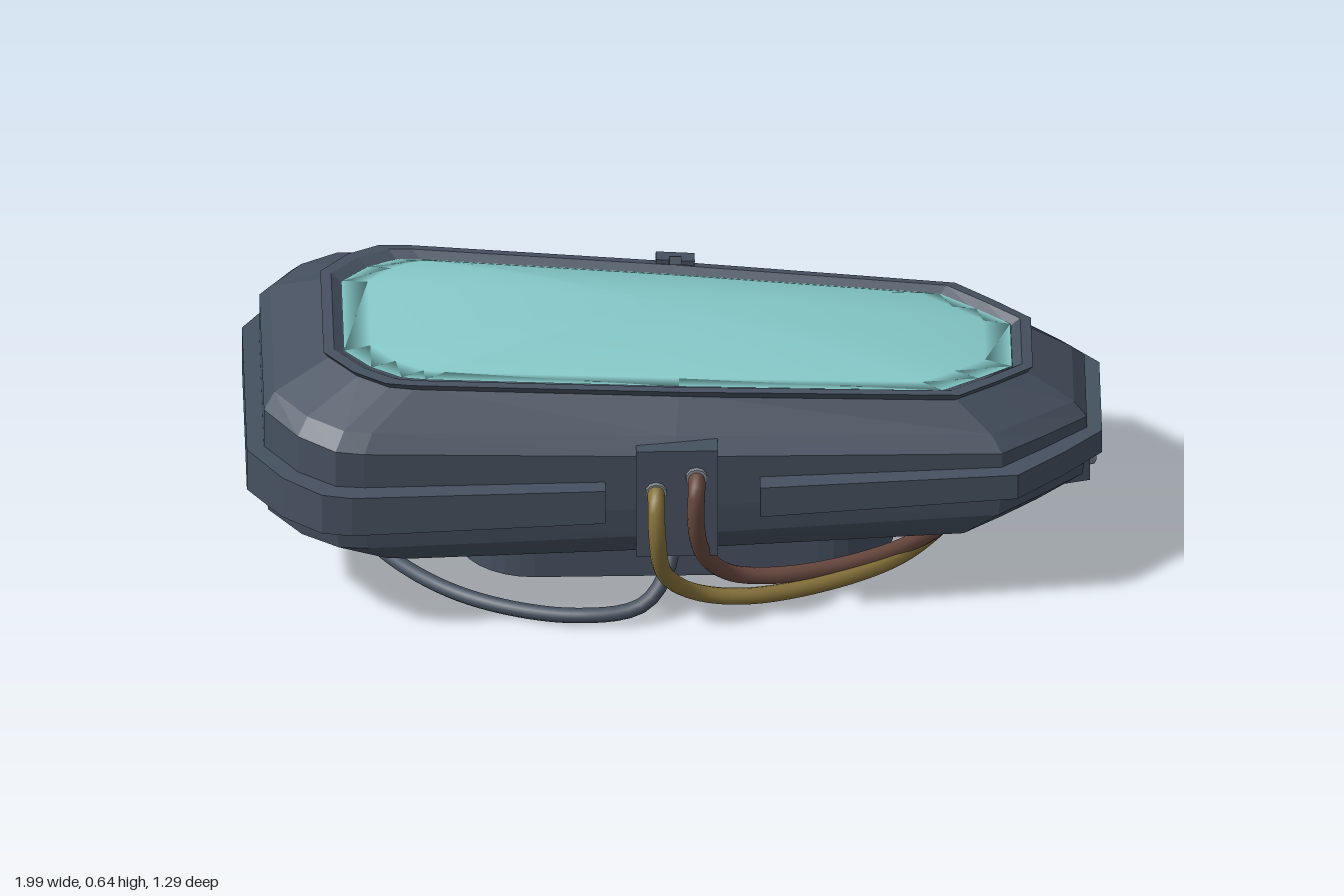
import * as THREE from 'three';

const flat = (name, color) => new THREE.MeshStandardMaterial({ name, color });
const V = (x, y, z) => new THREE.Vector3(x, y, z);
const CZ = 0.175; // the pod's own centre line in z

// Skin a list of equal rings with flat facets, facing outwards.
function loft(rings, { caps = true, smooth = false } = {}) {
  const n = rings[0].length, pts = rings.flat(), tris = [];
  for (let r = 0; r < rings.length - 1; r++)
    for (let i = 0; i < n; i++) {
      const a = r * n + i, b = r * n + (i + 1) % n;
      tris.push([a, b, b + n], [a, b + n, a + n]);
    }
  if (caps) [0, rings.length - 1].forEach((r, end) => {
    const c = rings[r].reduce((s, p) => s.add(p), V(0, 0, 0)).divideScalar(n);
    const k = pts.push(c) - 1;
    for (let i = 0; i < n; i++) {
      const a = r * n + i, b = r * n + (i + 1) % n;
      tris.push(end ? [a, b, k] : [b, a, k]);
    }
  });
  let volume = 0;
  for (const [a, b, c] of tris) volume += pts[a].dot(V(0, 0, 0).crossVectors(pts[b], pts[c]));
  if (volume < 0) tris.forEach(t => t.reverse());
  let g = new THREE.BufferGeometry().setFromPoints(pts);
  g.setIndex(tris.flat());
  if (!smooth) g = g.toNonIndexed();
  g.computeVertexNormals();
  return g;
}

// Half plan of the pod: position along the length, share of the half width.
const PLAN = [[-1, 0.56], [-0.92, 0.82], [-0.83, 0.975], [-0.76, 1], [0, 1.03],
  [0.79, 1], [0.9, 0.73], [1, 0.45]];

// Tapered ring from x0 to x1 with half widths hL and hR; y is taken at x = 0.
function ring(x0, x1, hL, hR, y, slope = 0) {
  const half = PLAN.map(([u, v]) => {
    const x = x0 + (x1 - x0) * (u + 1) / 2;
    const t = (u + 0.76) / 1.55;
    return [x, v * (hL + (hR - hL) * t)];
  });
  return [
    ...half.map(([x, h]) => V(x, y + slope * x, CZ - h)),
    ...half.reverse().map(([x, h]) => V(x, y + slope * x, CZ + h)),
  ];
}

export function createModel() {
  const hull = flat('hull slate', 0x465160);
  const glass = flat('teal glass', 0x86caca);
  const yellow = flat('ochre cable', 0x85713a);
  const brown = flat('brown cable', 0x69493f);
  const metal = flat('light metal', 0x858c96);
  hull.flatShading = true;
  const hose = flat('slate hose', 0x465160);

  const model = new THREE.Group();
  const add = (name, geo, mat, parent = model) => {
    const m = new THREE.Mesh(geo, mat);
    m.name = name;
    parent.add(m);
    return m;
  };
  const box = (name, w, h, d, x, y, z) => {
    const m = add(name, new THREE.BoxGeometry(w, h, d), hull);
    m.position.set(x, y, z);
    return m;
  };

  // Hull
  const S = -0.066;
  add('hull', loft([
    ring(-0.52, 0.52, 0.2, 0.17, 0.105),
    ring(-0.82, 0.84, 0.33, 0.25, 0.168),
    ring(-0.95, 0.945, 0.41, 0.3, 0.25),
    ring(-0.96, 0.955, 0.42, 0.305, 0.33),
    ring(-0.96, 0.955, 0.42, 0.305, 0.47, -0.063),
    ring(-0.935, 0.925, 0.385, 0.275, 0.505, S),
    ring(-0.8, 0.81, 0.285, 0.225, 0.574, S),
  ]), hull);

  // Raised lip around the window
  const lip = [
    ring(-0.805, 0.815, 0.288, 0.23, 0.566, S),
    ring(-0.82, 0.83, 0.3, 0.24, 0.587, S),
    ring(-0.795, 0.805, 0.28, 0.224, 0.589, S),
    ring(-0.77, 0.78, 0.255, 0.2, 0.572, S),
  ];
  add('windowLip', loft([...lip, lip[0]], { caps: false }), hull);

  // Domed window, rings shrinking towards the crown
  const dome = [1, 0.92, 0.8, 0.65, 0.48, 0.3, 0.12].map(k =>
    ring(-0.772 * k, 0.782 * k, 0.257 * k, 0.207 * k, 0.577 + 0.068 * (1 - k * k), S));
  add('window', loft(dome, { smooth: true }), glass);

  // Bumper bands wrapped around each end
  const bands = {
    headBand: [[-0.17, 0.425], [-0.76, 0.465], [-0.83, 0.452], [-0.92, 0.38], [-1, 0.26]],
    footBand: [[0.19, 0.405], [0.79, 0.34], [0.9, 0.24], [0.99, 0.145]],
  };
  for (const [name, half] of Object.entries(bands)) {
    const path = [...half, ...half.map(([x, h]) => [x, -h]).reverse()];
    add(name, loft(path.map(([x, h]) => {
      const top = 0.405 - 0.025 * x, low = 0.32;
      const xi = Math.abs(x) > 0.5 ? x * 0.92 : x, hi = h * 0.86;
      return [V(x, low, CZ + h), V(x, top, CZ + h), V(xi, top, CZ + hi), V(xi, low, CZ + hi)];
    })), hull);
  }

  // Pedestal with rounded ends
  const foot = new THREE.Shape();
  foot.absarc(0.33, 0, 0.18, -Math.PI / 2, Math.PI / 2);
  foot.absarc(-0.33, 0, 0.18, Math.PI / 2, Math.PI * 1.5);
  const footGeo = new THREE.ExtrudeGeometry(foot, { depth: 0.11, bevelEnabled: false, curveSegments: 8 });
  footGeo.rotateX(-Math.PI / 2);
  add('pedestal', footGeo, hull).position.set(0, 0.015, CZ);

  // Cable sockets on both sides and the window latch
  box('frontSocket', 0.19, 0.29, 0.08, -0.003, 0.35, 0.525);
  box('backSocket', 0.19, 0.29, 0.08, -0.003, 0.35, -0.175);
  box('latchBar', 0.09, 0.02, 0.035, 0.007, 0.59, -0.105).rotation.z = S;
  box('latchArm', 0.028, 0.02, 0.09, 0.007, 0.585, -0.115).rotation.x = -0.5;
  const collar = (name, r, x, y, z) => {
    const m = add(name, new THREE.CylinderGeometry(r, r, 0.02, 10), metal);
    m.rotation.x = Math.PI / 2;
    m.position.set(x, y, z);
  };
  collar('yellowCollar', 0.025, -0.052, 0.385, 0.566);
  collar('brownCollar', 0.025, 0.042, 0.425, 0.566);
  collar('hoseCollar', 0.054, -0.012, 0.41, -0.216);

  // Plug block: ports face local +z, cable collars face local -z
  function plug(name, w, d, ports, entries, x, z, turn) {
    const g = new THREE.Group();
    g.name = name;
    const s = new THREE.Shape([[-w / 2, 0], [w / 2, 0], [w / 2, 0.066], [w / 2 - 0.022, 0.096],
      [-w / 2 + 0.022, 0.096], [-w / 2, 0.066]].map(p => new THREE.Vector2(...p)));
    const geo = new THREE.ExtrudeGeometry(s, { depth: d, bevelEnabled: false });
    add('plugBlock', geo.translate(0, 0, -d / 2), hull, g);
    const disc = (label, r, len, mat, px, pz) => {
      const m = add(label, new THREE.CylinderGeometry(r, r, len, 10), mat, g);
      m.rotation.x = Math.PI / 2;
      m.position.set(px, 0.044, pz);
    };
    for (const [px, r] of ports) {
      disc('portRing', r, 0.03, metal, px, d / 2 + 0.01);
      disc('portHole', r * 0.7, 0.006, hull, px, d / 2 + 0.025);
      disc('portPin', r * 0.38, 0.008, metal, px, d / 2 + 0.027);
    }
    for (const [px, r] of entries) disc('cableCollar', r, 0.04, metal, px, -d / 2 - 0.012);
    g.position.set(x, 0.018, z);
    g.rotation.y = turn;
    model.add(g);
  }
  plug('footPlug', 0.29, 0.13, [[-0.07, 0.043], [0.03, 0.03], [0.102, 0.03]],
    [[0.08, 0.043], [-0.015, 0.026], [-0.085, 0.026]], 0.87, -0.15, 1.83);
  plug('headPlug', 0.145, 0.15, [[-0.035, 0.027], [0.035, 0.027]],
    [[-0.036, 0.026], [0.036, 0.024]], -0.855, -0.54, Math.PI * 1.25);

  // Cables
  const cable = (name, r, mat, pts) => add(name, new THREE.TubeGeometry(
    new THREE.CatmullRomCurve3(pts.map(p => V(...p))), 56, r, 10), mat);
  cable('yellowCable', 0.02, yellow, [[-0.052, 0.385, 0.55], [-0.052, 0.38, 0.6], [-0.05, 0.29, 0.622],
    [-0.03, 0.16, 0.575], [0.05, 0.07, 0.515], [0.2, 0.04, 0.48], [0.5, 0.034, 0.33],
    [0.68, 0.036, 0.08], [0.77, 0.055, -0.08], [0.82, 0.062, -0.12]]);
  cable('brownCable', 0.02, brown, [[0.042, 0.425, 0.55], [0.042, 0.415, 0.595], [0.04, 0.32, 0.6],
    [0.06, 0.2, 0.55], [0.13, 0.1, 0.48], [0.3, 0.062, 0.42], [0.55, 0.05, 0.28],
    [0.73, 0.045, 0.04], [0.79, 0.06, -0.04], [0.84, 0.062, -0.06]]);
  cable('backHose', 0.044, hose, [[-0.012, 0.41, -0.19], [-0.012, 0.405, -0.228], [-0.01, 0.34, -0.243],
    [0.01, 0.21, -0.19], [0.07, 0.11, -0.125], [0.2, 0.07, -0.11], [0.5, 0.064, -0.15],
    [0.8, 0.062, -0.21]]);
  cable('backBrownCable', 0.019, brown, [[0, 0.17, -0.02], [-0.02, 0.12, -0.06], [-0.1, 0.07, -0.12],
    [-0.28, 0.045, -0.21], [-0.5, 0.038, -0.29], [-0.66, 0.045, -0.39], [-0.77, 0.06, -0.505]]);
  cable('loopCable', 0.018, hose, [[-0.01, 0.22, 0.46], [-0.02, 0.14, 0.5], [-0.08, 0.06, 0.545],
    [-0.24, 0.034, 0.55], [-0.5, 0.03, 0.45], [-0.7, 0.03, 0.22], [-0.76, 0.03, -0.05],
    [-0.735, 0.03, -0.28], [-0.76, 0.04, -0.4], [-0.82, 0.06, -0.455]]);

  return model;
}
